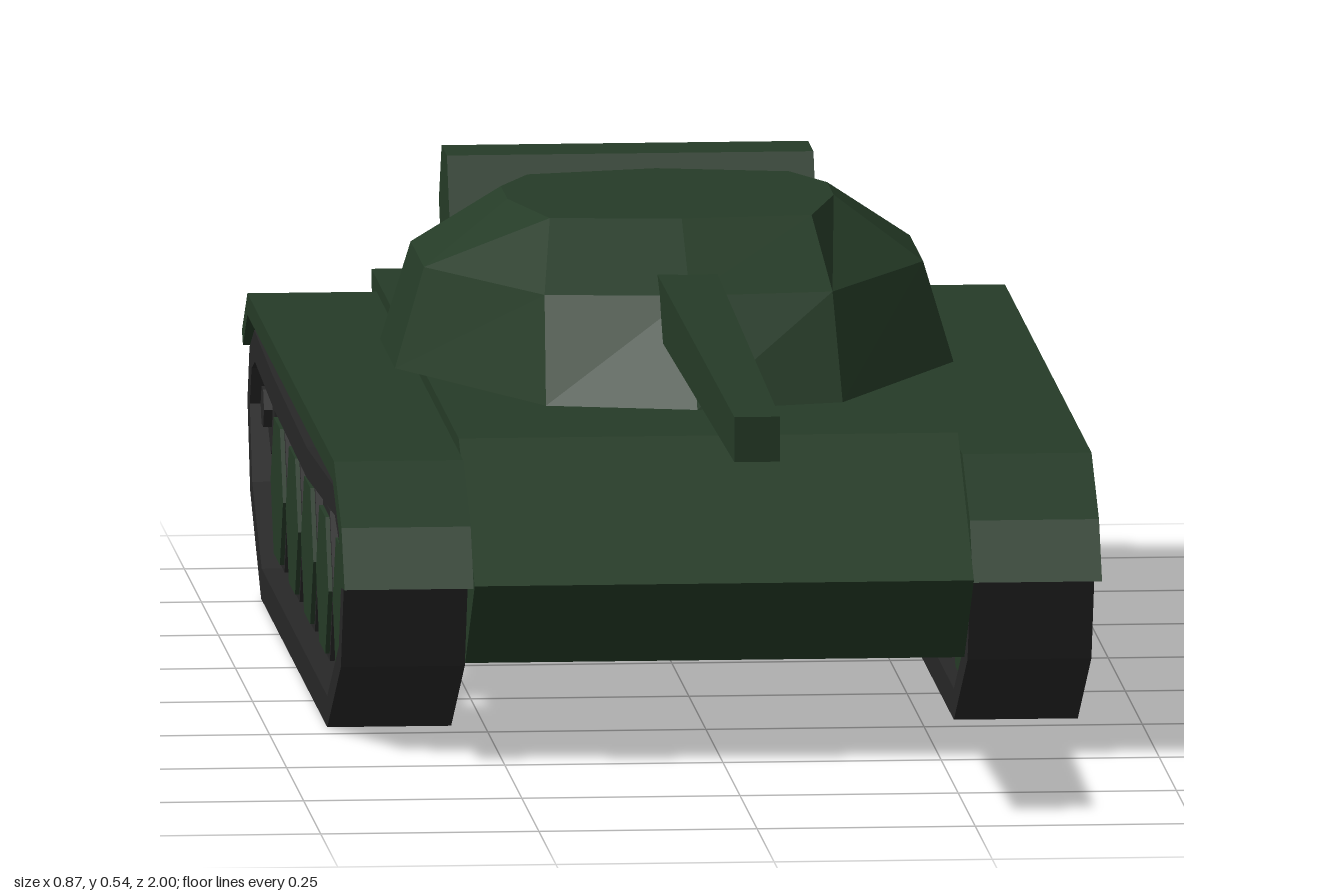
import * as THREE from 'three';

const green = new THREE.MeshStandardMaterial({ color: 0x253b27 });
green.name = 'armourGreen';
const dark = new THREE.MeshStandardMaterial({ color: 0x272727 });
dark.name = 'trackGrey';
green.flatShading = dark.flatShading = true;

function part(name, geometry, material, parent) {
  const mesh = new THREE.Mesh(geometry, material);
  mesh.name = name;
  parent.add(mesh);
  return mesh;
}

// Extrudes a (z, y) side profile across x from x0 to x1
function sideExtrude(points, x0, x1, hole) {
  const shape = new THREE.Shape(points.map(p => new THREE.Vector2(...p)));
  if (hole) shape.holes.push(new THREE.Path(hole.map(p => new THREE.Vector2(...p))));
  const g = new THREE.ExtrudeGeometry(shape, { depth: x1 - x0, bevelEnabled: false });
  return g.rotateY(-Math.PI / 2).translate(x1, 0, 0);
}

// Prism lying along x
function crossPrism(radius, width, x, y, z, sides = 6, turn = 0) {
  return new THREE.CylinderGeometry(radius, radius, width, sides, 1, false, turn)
    .rotateZ(Math.PI / 2).translate(x, y, z);
}

// Closed loft through stacked rings, each given as its right half from back to front
function loft(levels) {
  const rings = levels.map(({ y, half }) => {
    const mirrored = half.slice(1, -1).reverse().map(([x, z]) => [-x, z]);
    return [...half, ...mirrored].map(([x, z]) => [x, y, z]);
  });
  const n = rings[0].length, pos = [];
  const tri = (a, b, c) => pos.push(...a, ...b, ...c);
  const top = rings[rings.length - 1], base = rings[0];
  for (let i = 0; i < n; i++) {
    const j = (i + 1) % n;
    for (let k = 0; k + 1 < rings.length; k++) {
      const lo = rings[k], hi = rings[k + 1];
      tri(lo[j], lo[i], hi[i]);
      tri(lo[j], hi[i], hi[j]);
    }
    tri([0, top[0][1], -0.3], top[j], top[i]);
    tri([0, base[0][1], -0.3], base[i], base[j]);
  }
  const g = new THREE.BufferGeometry();
  g.setAttribute('position', new THREE.Float32BufferAttribute(pos, 3));
  g.computeVertexNormals();
  return g;
}

// Fender, track, wheels and sprockets for the side at +x
function runningGear(parent) {
  part('fender', sideExtrude([
    [0.505, 0.205], [0.46, 0.27], [0.35, 0.33], [-0.92, 0.33], [-1, 0.275],
    [-0.985, 0.26], [-0.92, 0.305], [0.33, 0.305], [0.42, 0.26], [0.455, 0.2],
  ], 0.286, 0.434), green, parent);

  part('track', sideExtrude([
    [0.2, 0], [0.4, 0.1], [0.445, 0.205], [0.405, 0.27], [0.33, 0.295], [-0.1, 0.277],
    [-0.6, 0.284], [-0.87, 0.295], [-0.94, 0.265], [-0.97, 0.2], [-0.93, 0.1], [-0.77, 0],
  ], 0.288, 0.43, [
    [0.2, 0.036], [-0.76, 0.036], [-0.9, 0.115], [-0.935, 0.2], [-0.91, 0.245], [-0.86, 0.26],
    [-0.6, 0.248], [-0.1, 0.242], [0.31, 0.262], [0.375, 0.24], [0.405, 0.2], [0.37, 0.12],
  ]), dark, parent);

  for (const z of [0.178, -0.066, -0.287, -0.51, -0.732]) {
    part('roadWheelTyre', crossPrism(0.1, 0.11, 0.355, 0.13, z), dark, parent);
    part('roadWheelDisc', crossPrism(0.091, 0.12, 0.355, 0.13, z), green, parent);
  }
  for (const [z, r] of [[0.325, 0.062], [-0.88, 0.055]]) {
    part('sprocket', crossPrism(r, 0.11, 0.355, 0.205, z, 6, Math.PI / 6), dark, parent);
    part('sprocketHub', crossPrism(0.025, 0.13, 0.355, 0.205, z), dark, parent);
  }
}

export function createModel() {
  const model = new THREE.Group();
  model.name = 'tank';

  // Hull with sloped nose
  part('hull', sideExtrude([
    [0.52, 0.21], [0.285, 0.345], [-0.995, 0.345], [-0.98, 0.275], [-0.935, 0.1], [0.38, 0.1],
  ], -0.286, 0.286), green, model);

  // Running gear, mirrored by turning the vertices over
  const leftSide = new THREE.Group();
  leftSide.name = 'leftRunningGear';
  runningGear(leftSide);
  const rightSide = leftSide.clone();
  rightSide.name = 'rightRunningGear';
  rightSide.scale.x = -1;
  model.add(leftSide, rightSide);

  // Faceted turret
  const turret = new THREE.Group();
  turret.name = 'turret';
  model.add(turret);
  part('turretShell', loft([
    { y: 0.35, half: [[0, -0.62], [0.168, -0.61], [0.32, -0.435], [0.32, -0.215], [0.17, 0.08], [0, 0.125]] },
    { y: 0.465, half: [[0, -0.56], [0.145, -0.55], [0.286, -0.42], [0.286, -0.225], [0.165, -0.005], [0, 0.015]] },
    { y: 0.536, half: [[0, -0.485], [0.15, -0.45], [0.187, -0.365], [0.187, -0.27], [0.15, -0.12], [0, -0.105]] },
  ]), green, turret);

  // Square tapered barrel
  const barrel = new THREE.CylinderGeometry(0.026 * Math.SQRT2, 0.035 * Math.SQRT2, 1.1, 4, 1, false, Math.PI / 4)
    .rotateX(Math.PI / 2).translate(0, 0.45, 0.45);
  part('gunBarrel', barrel, green, turret);

  // Rear drum
  part('fuelDrum', crossPrism(0.078, 0.42, 0, 0.428, -0.9), green, model);

  return model;
}
